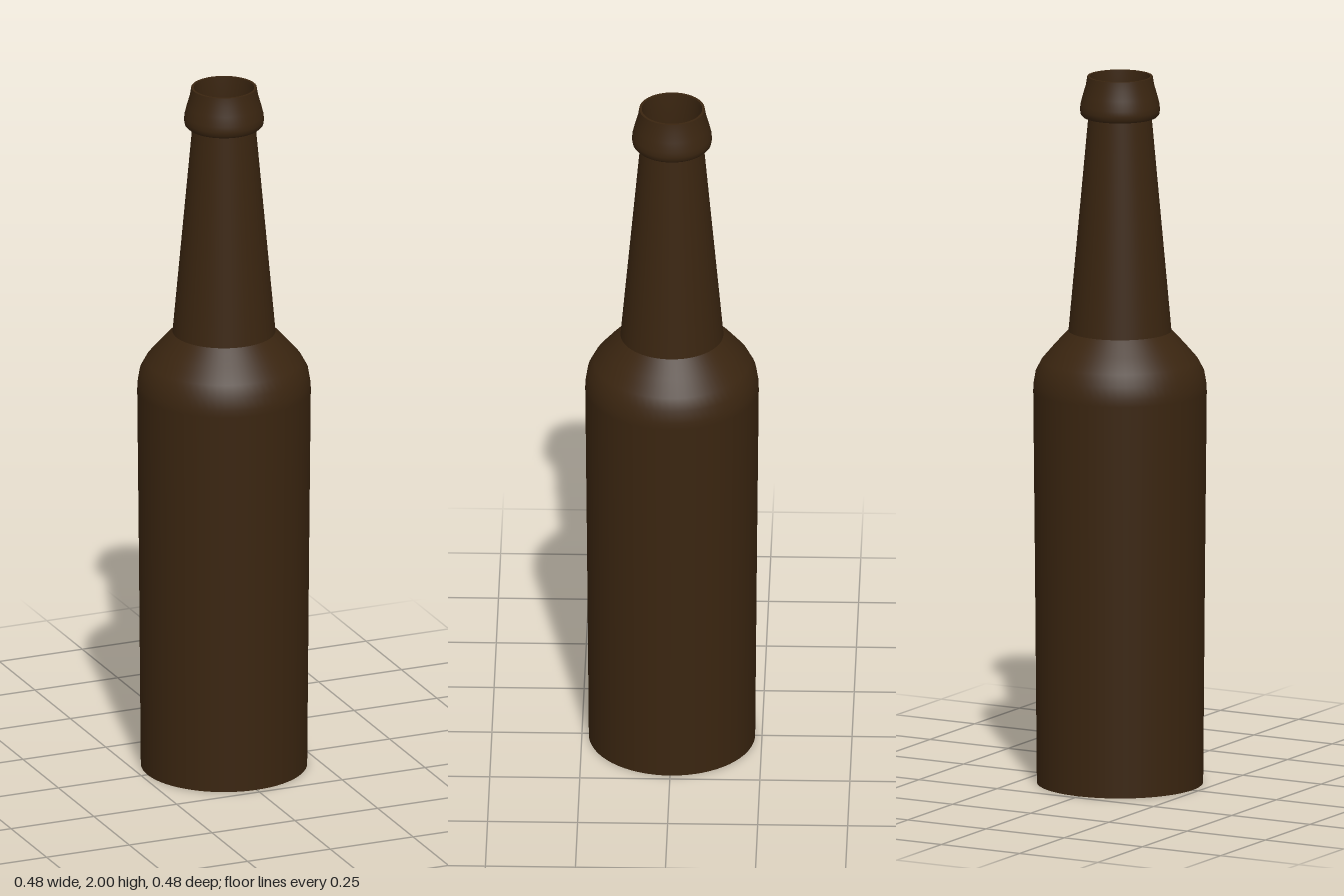
import * as THREE from 'three';

const SEGMENTS = 64;

export function createModel() {
  const bottle = new THREE.Group();
  bottle.name = 'bottle';

  const glass = new THREE.MeshStandardMaterial({ color: 0x3a2510 });
  glass.name = 'brown glass';

  // Each band is its own lathe, so edges between bands stay sharp.
  // Profiles are [radius, height]; the surface faces right of the path's direction.
  function band(name, profile) {
    const points = profile.map(([r, y]) => new THREE.Vector2(r, y));
    const mesh = new THREE.Mesh(new THREE.LatheGeometry(points, SEGMENTS), glass);
    mesh.name = name;
    bottle.add(mesh);
  }

  // Outside, from the base up
  band('base', [[0, 0], [0.231, 0]]);
  band('body', [[0.231, 0], [0.236, 0.6], [0.241, 1.11], [0.24, 1.13], [0.234, 1.165],
    [0.217, 1.197], [0.182, 1.238], [0.143, 1.28]]);
  band('neck', [[0.143, 1.28], [0.088, 1.885]]);

  // Flared lip around the mouth
  band('lipUnderside', [[0.086, 1.886], [0.102, 1.886]]);
  band('lipRing', [[0.102, 1.886], [0.109, 1.893], [0.111, 1.905], [0.11, 1.92],
    [0.103, 1.948], [0.095, 1.975], [0.091, 2]]);
  band('mouthRim', [[0.091, 2], [0.084, 2]]);

  // Hollow inside, from the mouth down
  band('innerNeck', [[0.084, 2], [0.08, 1.89], [0.133, 1.28]]);
  band('innerBody', [[0.133, 1.28], [0.207, 1.195], [0.23, 1.12], [0.221, 0.02]]);
  band('innerFloor', [[0.221, 0.02], [0, 0.02]]);

  return bottle;
}
